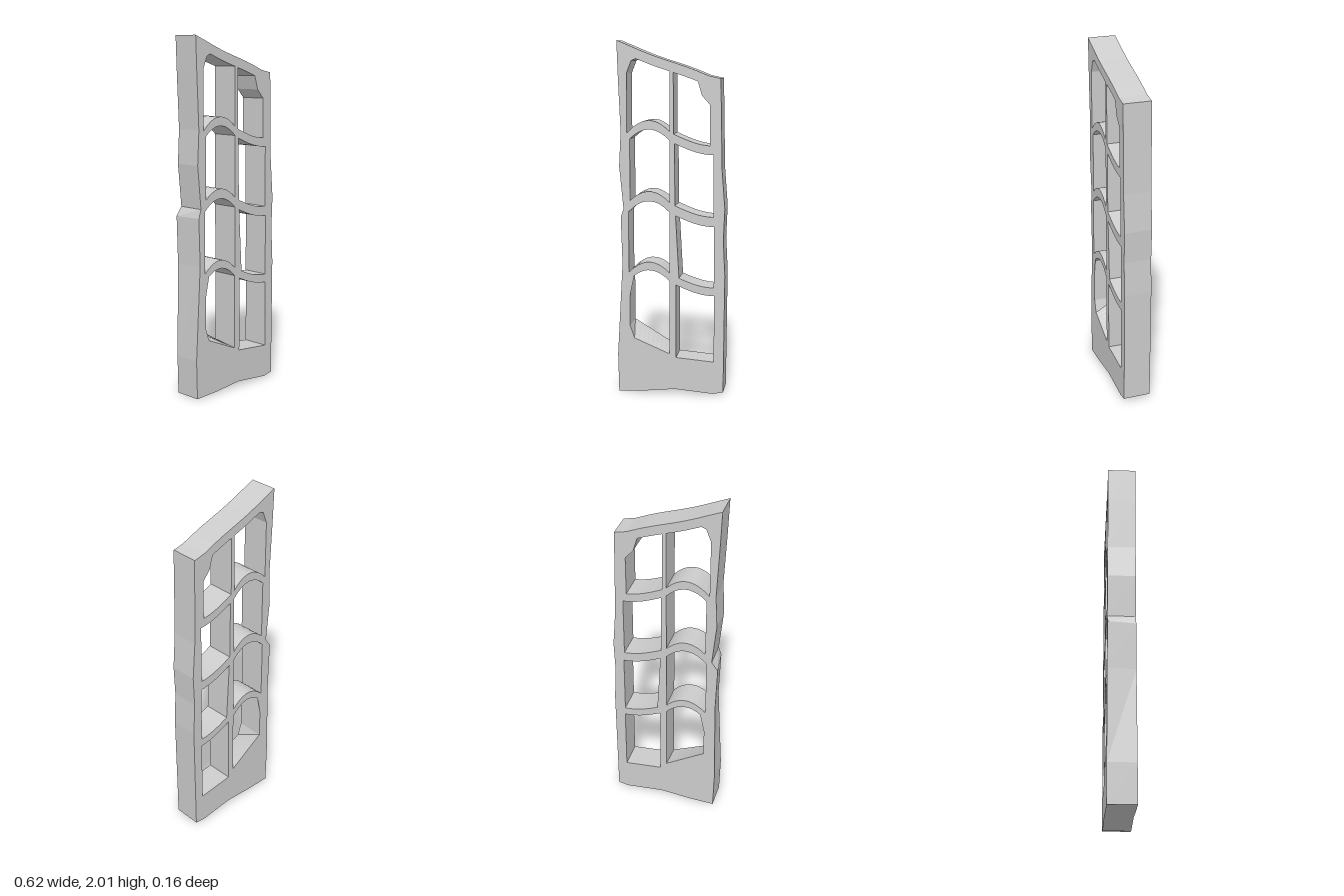
import * as THREE from 'three';

const BACK = -0.083, DEPTH = 0.158, STEPS = 9;

// Worn long edges and foot, as a few points each
const foot = [[-0.305, 0], [-0.15, 0.008], [0.02, 0.026], [0.12, 0.018], [0.24, 0.008]];
const rightEdge = [[0.3, 0.02], [0.305, 0.7], [0.295, 0.9], [0.302, 1.08], [0.285, 1.3], [0.275, 1.8]];
const leftEdge = [[-0.298, 1.8], [-0.285, 1.5], [-0.295, 1.31], [-0.272, 1.07], [-0.308, 1.02],
  [-0.3, 0.75], [-0.31, 0.22]];

// Sloping top rail, and the shared wave of the cross rails: an arch on the left, a sag on the right
const topEdge = (x) => Math.max(1.802, 1.889 - 0.37 * x) + 0.004 * Math.sin(14 * x);
const wave = (x) => x < 0
  ? -0.06 * ((x + 0.125) / 0.115) ** 2
  : -0.068 - 0.07 * Math.sin((Math.PI / 2) * Math.min(1, x / 0.24));
const rail = (peak) => (x) => peak + wave(x);

// Top openings: rounded left corner, broken right corner
const topCeiling = (x) => {
  const rounding = 0.09 * (Math.max(0, -0.2 - x) / 0.047) ** 2;
  const broken = x > 0.16 ? 0.06 + 0.7 * (x - 0.16) : 0;
  return topEdge(x) - 0.055 - rounding - broken;
};
// Bottom sill: a rubble slope on the left, nearly level on the right
const sill = (x) => (x < 0 ? 0.25 - 0.6 * x : 0.216 - 0.08 * x);

// Rows from top to bottom; a and b are the right opening's inner edge at its top and bottom
const rows = [
  { ceiling: topCeiling, floor: rail(1.567), left: -0.25, a: 0.012, b: 0.013, right: 0.217 },
  { ceiling: rail(1.517), floor: rail(1.17), left: -0.234, a: 0.018, b: 0.022, right: 0.238 },
  { ceiling: rail(1.115), floor: rail(0.767), left: -0.243, a: 0.025, b: 0.045, right: 0.243 },
  { ceiling: rail(0.72), floor: sill, left: -0.238, a: 0.028, b: 0.028, right: 0.245 },
];

// Points along a curve y = f(x), from x0 to x1
function along(f, x0, x1) {
  return Array.from({ length: STEPS + 1 }, (_, i) => {
    const x = THREE.MathUtils.lerp(x0, x1, i / STEPS);
    return new THREE.Vector2(x, f(x));
  });
}

const toPoints = (list) => list.map(([x, y]) => new THREE.Vector2(x, y));

export function createModel() {
  const group = new THREE.Group();
  group.name = 'windowFrame';

  const shape = new THREE.Shape([
    ...toPoints(foot), ...toPoints(rightEdge), ...along(topEdge, 0.27, -0.305), ...toPoints(leftEdge),
  ]);

  // Two openings per row, either side of the thin central mullion
  for (const { ceiling, floor, left, a, b, right } of rows) {
    shape.holes.push(
      new THREE.Path([...along(ceiling, left, -0.01), ...along(floor, -0.01, left)]),
      new THREE.Path([...along(ceiling, a, right), ...along(floor, right, b)])
    );
  }

  const geometry = new THREE.ExtrudeGeometry(shape, { depth: DEPTH, bevelEnabled: false });
  geometry.translate(0, 0, BACK);

  // Weathered front: chipped left edge and broken lower sill
  const p = geometry.attributes.position;
  for (let i = 0; i < p.count; i++) {
    const x = p.getX(i), y = p.getY(i);
    if (p.getZ(i) < 0) continue;
    if (x < -0.29 && y > 0.7 && y < 1.04) p.setX(i, x + 0.02);
    if (x > -0.23 && x < 0 && y > 0.24 && y < 0.4) p.setY(i, y - 0.02 - 0.3 * (y - 0.25));
  }
  geometry.computeVertexNormals();

  const frame = new THREE.Mesh(
    geometry,
    new THREE.MeshStandardMaterial({ color: 0xcccccc, flatShading: true })
  );
  frame.name = 'frameWithMullions';
  group.add(frame);
  return group;
}
